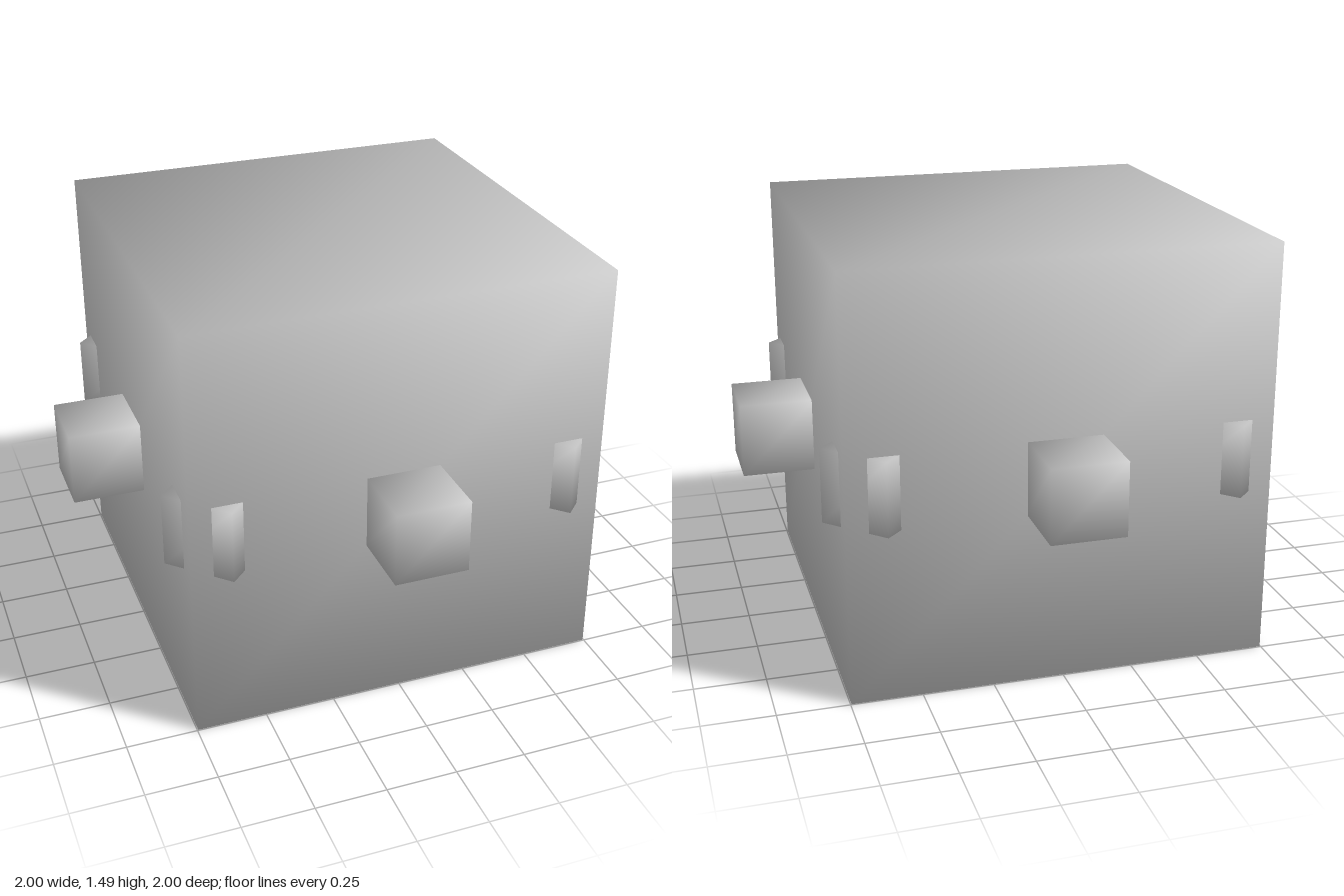
import * as THREE from 'three';

const HALF = 0.747;   // half side of the big cube, also the height of its centre
const STUD = 0.262;   // side of the small cubes
const ARM = 0.869;    // distance of the face studs from the centre
const CORNER = 0.615; // x and z offset of the turned corner studs

// Cube with soft normals shared at its corners
function softCube(size) {
  const geometry = new THREE.BoxGeometry(size, size, size);
  const { position, normal } = geometry.attributes;
  const v = new THREE.Vector3();
  for (let i = 0; i < position.count; i++) {
    v.fromBufferAttribute(position, i).normalize();
    normal.setXYZ(i, v.x, v.y, v.z);
  }
  return geometry;
}

export function createModel() {
  const model = new THREE.Group();
  const material = new THREE.MeshStandardMaterial({ color: 0xcccccc });
  const studGeometry = softCube(STUD);

  function add(name, geometry, x, z, turn = 0) {
    const mesh = new THREE.Mesh(geometry, material);
    mesh.name = name;
    mesh.position.set(x, HALF, z);
    mesh.rotation.y = turn;
    model.add(mesh);
  }

  // Main body
  add('body', softCube(HALF * 2), 0, 0);

  // One stud in the middle of each side
  add('frontStud', studGeometry, 0, ARM);
  add('backStud', studGeometry, 0, -ARM);
  add('leftStud', studGeometry, ARM, 0);
  add('rightStud', studGeometry, -ARM, 0);

  // Studs turned 45 degrees inside the corners, their edges poking through the sides
  for (const [sx, side] of [[1, 'Left'], [-1, 'Right']]) {
    for (const [sz, end] of [[1, 'front'], [-1, 'back']]) {
      add(`${end}${side}CornerStud`, studGeometry, sx * CORNER, sz * CORNER, Math.PI / 4);
    }
  }
  return model;
}
